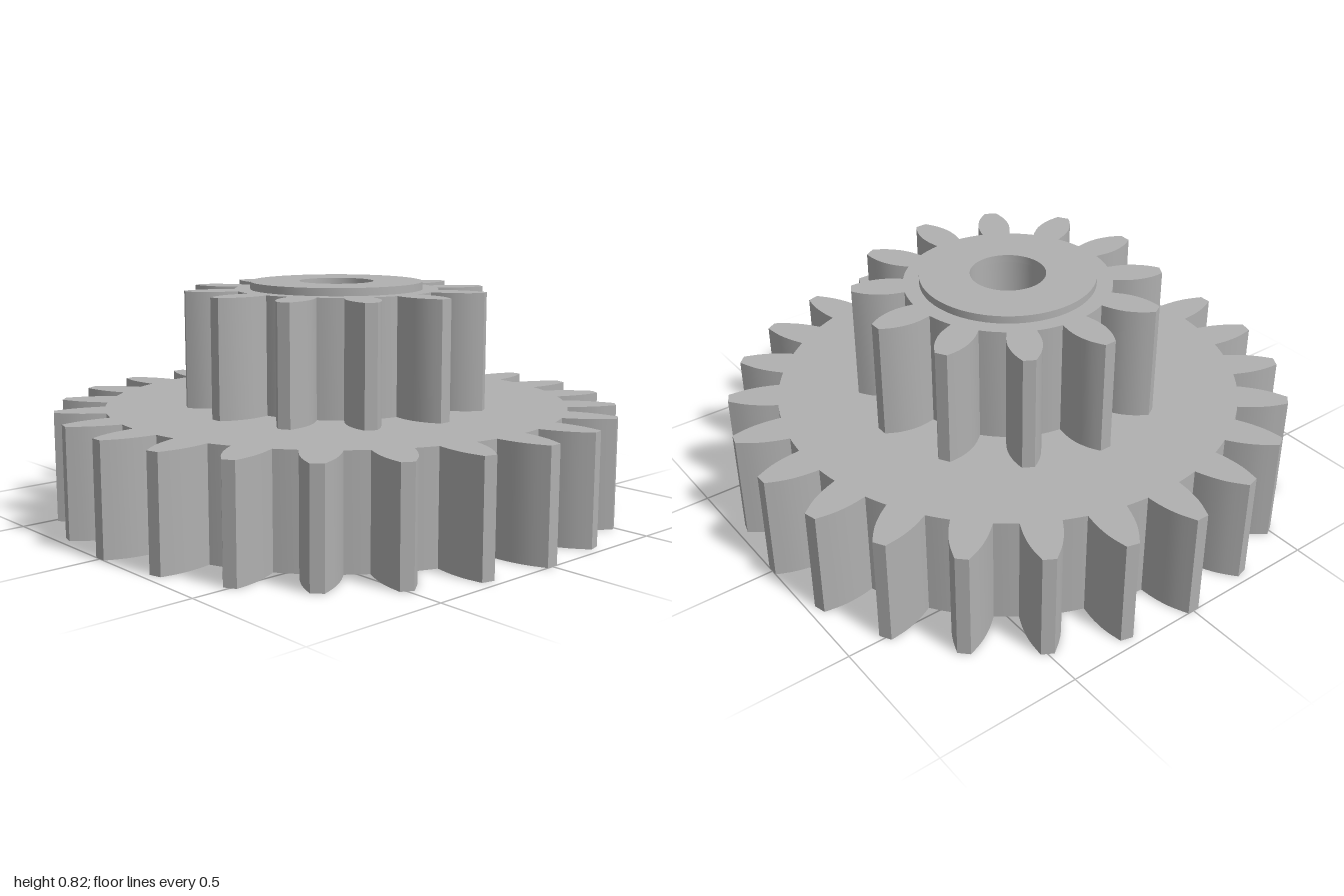
import * as THREE from 'three';
import { toCreasedNormals } from 'three/addons/utils/BufferGeometryUtils.js';

const BORE = 0.132;

// Extrude an outline upward from y0 to y1 with the centre bore cut out
function boredPlate(name, points, y0, y1, material) {
  const shape = new THREE.Shape(points);
  const hole = new THREE.Path();
  hole.absarc(0, 0, BORE, 0, Math.PI * 2, true);
  shape.holes.push(hole);
  const geo = new THREE.ExtrudeGeometry(shape, {
    depth: y1 - y0, bevelEnabled: false, curveSegments: 32,
  });
  geo.rotateX(-Math.PI / 2);
  geo.translate(0, y0, 0);
  const mesh = new THREE.Mesh(toCreasedNormals(geo, 0.4), material);
  mesh.name = name;
  return mesh;
}

// Gear outline: flank is a list of [radius, half width] from root to tip
function gearOutline(teeth, flank) {
  const curve = new THREE.SplineCurve(flank.map(([r, w]) => new THREE.Vector2(r, w)));
  const side = curve.getPoints(8);
  const root = flank[0][0];
  const rootHalf = Math.asin(flank[0][1] / root);
  const pitch = (Math.PI * 2) / teeth;
  const points = [];
  const add = (r, a) => points.push(new THREE.Vector2(r * Math.cos(a), r * Math.sin(a)));
  for (let i = 0; i < teeth; i++) {
    const a = i * pitch;
    // Up one flank, across the tip and down the other
    for (const p of side) add(p.x, a - Math.asin(p.y / p.x));
    for (const p of [...side].reverse()) add(p.x, a + Math.asin(p.y / p.x));
    // Root arc to the next tooth
    const gap = pitch - 2 * rootHalf;
    for (let k = 1; k < 4; k++) add(root, a + rootHalf + (gap * k) / 4);
  }
  return points;
}

function circleOutline(radius, segments) {
  return Array.from({ length: segments }, (_, i) => {
    const a = (i / segments) * Math.PI * 2;
    return new THREE.Vector2(radius * Math.cos(a), radius * Math.sin(a));
  });
}

export function createModel() {
  const group = new THREE.Group();
  group.name = 'doubleGear';
  const grey = new THREE.MeshStandardMaterial({ color: 0xb0b0b0 });
  grey.name = 'grey';

  // Wide lower gear
  const large = gearOutline(24, [[0.825, 0.067], [0.88, 0.062], [0.94, 0.048], [1, 0.022]]);
  group.add(boredPlate('largeGear', large, 0, 0.385, grey));

  // Narrow upper gear, with teeth slightly waisted at the root
  const small = gearOutline(12, [[0.363, 0.049], [0.405, 0.056], [0.45, 0.056], [0.5, 0.043], [0.54, 0.021]]);
  group.add(boredPlate('smallGear', small, 0.385, 0.795, grey));

  // Raised collar around the bore
  group.add(boredPlate('hubCollar', circleOutline(0.307, 64), 0.795, 0.822, grey));
  return group;
}
